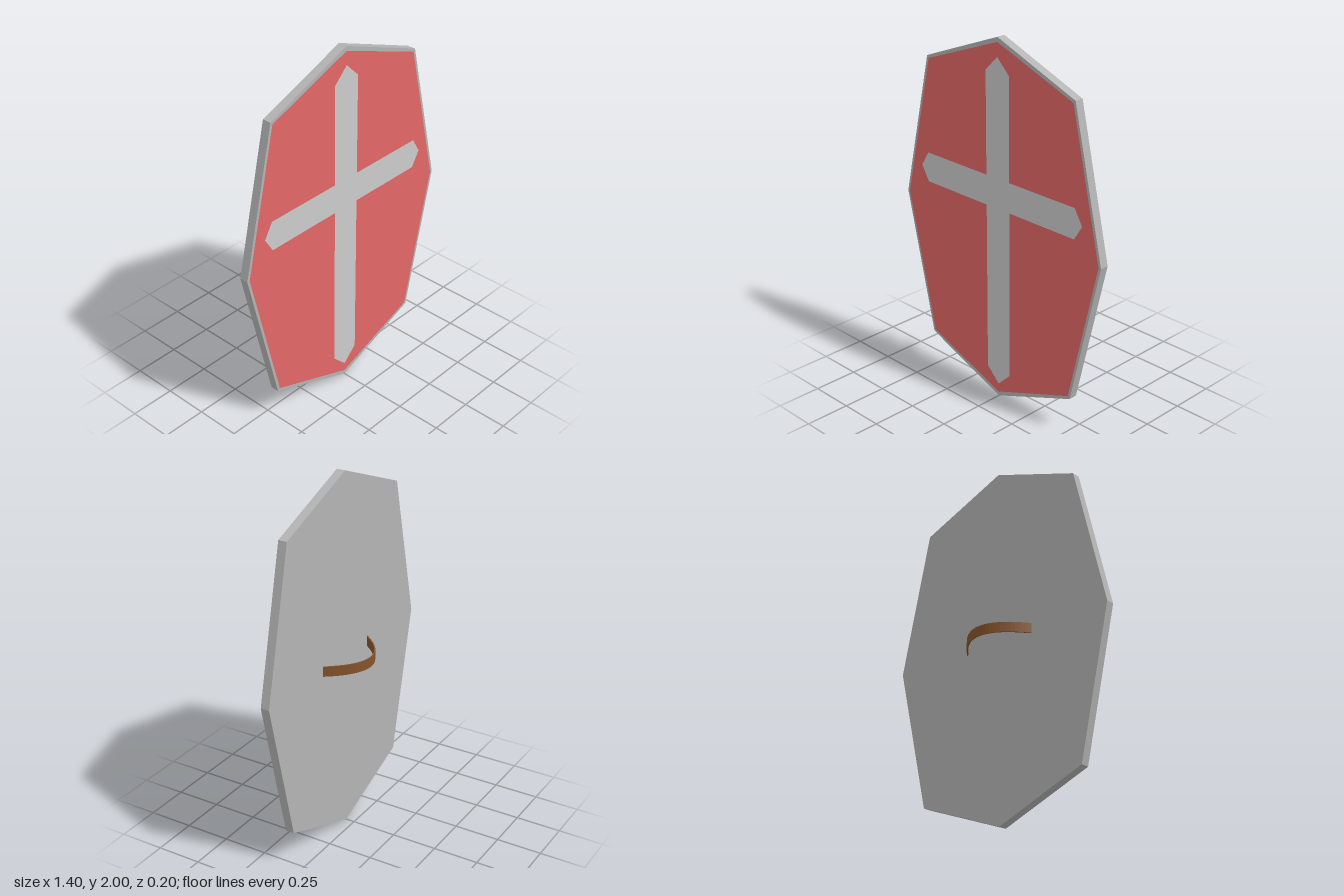
import * as THREE from 'three';

// Closed shape from a list of [x, y] corners
const shapeOf = (pts) => new THREE.Shape(pts.map(([x, y]) => new THREE.Vector2(x, y)));

// Eight-sided outline, mirrored left and right, counter-clockwise from the top
const octagon = (top, shoulderX, shoulderY, sideX, bottom) => shapeOf([
  [0, top], [-shoulderX, shoulderY], [-sideX, 1], [-shoulderX, 2 - shoulderY],
  [0, bottom], [shoulderX, 2 - shoulderY], [sideX, 1], [shoulderX, shoulderY],
]);

export function createModel() {
  const model = new THREE.Group();

  const add = (name, geometry, color, z = 0) => {
    const material = new THREE.MeshStandardMaterial({ color });
    const mesh = new THREE.Mesh(geometry, material);
    mesh.name = name;
    mesh.position.z = z;
    model.add(mesh);
    return mesh;
  };

  // Flat slab whose front edge shows as the rim
  add('shieldBody', new THREE.ExtrudeGeometry(octagon(2, 0.515, 1.8, 0.7, 0),
    { depth: 0.048, bevelEnabled: false }), 0xb4b4b4, 0.05);

  // Coloured face inside the rim
  add('facePanel', new THREE.ShapeGeometry(octagon(1.975, 0.503, 1.787, 0.685, 0.025)), 0xe46767, 0.099);

  // Painted cross with pointed ends
  const w = 0.082, low = 1.1, high = 1.265, mid = (low + high) / 2;
  add('frontCross', new THREE.ShapeGeometry(shapeOf([
    [0, 1.9], [-w, 1.82], [-w, high], [-0.525, high], [-0.575, mid], [-0.525, low], [-w, low], [-w, 0.155],
    [0, 0.075], [w, 0.155], [w, low], [0.525, low], [0.575, mid], [0.525, high], [w, high], [w, 1.82],
  ])), 0xcccccc, 0.1);

  // Thin arched strap on the back: arch drawn in x and z, extruded upward
  const steps = 24, thickness = 0.006;
  const outer = [], inner = [];
  for (let i = 0; i <= steps; i++) {
    const x = -0.22 + 0.44 * i / steps;
    const rise = 0.15 * (1 - (x / 0.22) ** 2);
    outer.push([x, rise - 0.05]);
    inner.unshift([x * 0.975, Math.max(rise - thickness, 0) - 0.05]);
  }
  const strap = new THREE.ExtrudeGeometry(shapeOf([...outer, ...inner]), { depth: 0.055, bevelEnabled: false });
  strap.rotateX(-Math.PI / 2);
  add('handleStrap', strap, 0x85532b).position.y = 0.974;

  return model;
}
